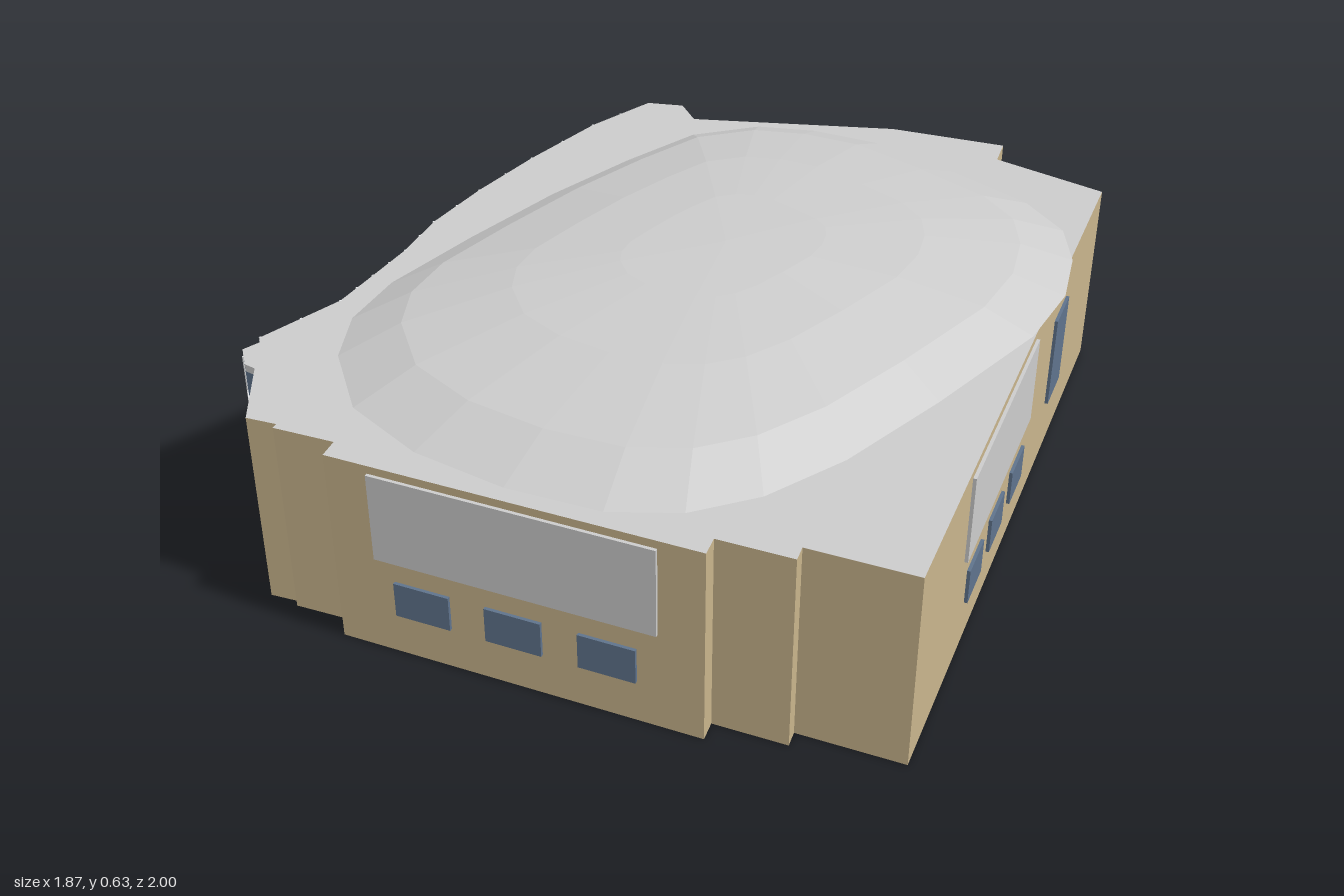
import * as THREE from 'three';

const mat = (name, color, extra = {}) => new THREE.MeshStandardMaterial({ name, color, side: THREE.DoubleSide, ...extra });

export function createModel() {
  const tan = mat('tan wall', 0xc8b48c);
  const grey = mat('light grey', 0xcccccc, { flatShading: true });
  const glass = mat('blue glass', 0x5f738c);
  const white = mat('white mullion', 0xe6e8ea);

  const model = new THREE.Group();
  model.name = 'building';
  const WALL = 0.5;

  const add = (name, geometry, material, parent = model) => {
    const mesh = new THREE.Mesh(geometry, material);
    mesh.name = name;
    parent.add(mesh);
    return mesh;
  };

  // Upright strip of wall along a plan line of [x, z] points
  const strip = (pts, y0, y1) => {
    const pos = [];
    for (let i = 0; i < pts.length - 1; i++) {
      const [ax, az] = pts[i], [bx, bz] = pts[i + 1];
      pos.push(ax, y0, az, ax, y1, az, bx, y1, bz, ax, y0, az, bx, y1, bz, bx, y0, bz);
    }
    const g = new THREE.BufferGeometry();
    g.setAttribute('position', new THREE.Float32BufferAttribute(pos, 3));
    g.computeVertexNormals();
    return g;
  };

  // Flat roof sheet over a plan outline
  const sheet = (pts, y) => new THREE.ShapeGeometry(
    new THREE.Shape(pts.map(([x, z]) => new THREE.Vector2(x, -z)))).rotateX(-Math.PI / 2).translate(0, y, 0);

  // Thin plate along the wall a-b, from fraction t0 to t1, pushed outwards
  const plate = (name, a, b, t0, t1, y0, y1, material, depth = 0.008, out = 0.004, parent = model) => {
    const dx = b[0] - a[0], dz = b[1] - a[1], len = Math.hypot(dx, dz), t = (t0 + t1) / 2;
    const m = add(name, new THREE.BoxGeometry(len * (t1 - t0), y1 - y0, depth), material, parent);
    m.position.set(a[0] + dx * t + dz / len * out, (y0 + y1) / 2, a[1] + dz * t - dx / len * out);
    m.rotation.y = Math.atan2(-dz, dx);
    return m;
  };

  // Plan of the main block, clockwise seen from above
  const solid = [[-0.24, -0.88], [0.315, -1], [0.63, -0.995], [0.63, -0.905], [0.93, -0.805],
    [0.83, 0.93], [0.58, 0.915], [0.58, 0.955], [0.405, 0.945], [0.405, 0.995],
    [-0.47, 0.94], [-0.47, 0.89], [-0.62, 0.885], [-0.62, 0.87], [-0.695, 0.87], [-0.83, 0.565]];
  const inner = [[-0.83, 0.565], [-0.73, 0.355], [-0.71, 0.22], [-0.69, 0.08], [-0.685, -0.08]];
  const curve = [[-0.685, -0.08], [-0.645, -0.28], [-0.585, -0.5], [-0.5, -0.75], [-0.4, -0.94],
    [-0.3, -0.955], [-0.24, -0.88]];
  const curtain = [...inner, ...curve.slice(1)];

  add('mainWalls', strip(solid, 0, WALL), tan);
  add('glassWall', strip(curtain, 0, WALL), glass);
  add('flatRoof', sheet([...solid, ...curtain.slice(1, -1)], WALL), grey);

  // Lower curved glass wing
  const wing = [[-0.83, 0.565], [-0.895, 0.547], [-0.934, 0.49], [-0.85, 0.345], [-0.78, 0.21],
    [-0.73, 0.065], [-0.685, -0.08]];
  add('wingGlass', strip(wing, 0, 0.38), glass);
  add('wingFascia', strip(wing, 0.38, 0.4), grey);
  add('wingRoof', sheet([...wing, ...inner.slice(1, -1).reverse()], 0.4), grey);

  // White bars over the glazing
  const mullions = new THREE.Group();
  mullions.name = 'mullions';
  model.add(mullions);
  const glaze = (pts, top, heights) => {
    for (let i = 0; i < pts.length - 1; i++) {
      const a = pts[i], b = pts[i + 1];
      for (const y of heights) plate('crossBar', a, b, 0, 1, y - 0.003, y + 0.003, white, 0.006, 0, mullions);
      const len = Math.hypot(b[0] - a[0], b[1] - a[1]);
      if (len < 0.12) continue;
      const w = 0.0025 / len;
      for (const t of [0, 0.5]) plate('uprightBar', a, b, t - w, t + w, 0, top, white, 0.006, 0, mullions);
    }
  };
  glaze(curtain, WALL, [0.15, 0.28, 0.41]);
  glaze(wing, 0.38, [0.15, 0.28]);

  // Large panel with three small windows below, on the front and the left side
  const front = [solid[9], solid[10]], side = [solid[4], solid[5]];
  const onFront = (x) => (0.405 - x) / 0.875, onSide = (z) => (z + 0.805) / 1.735;
  plate('frontPanel', ...front, onFront(0.3), onFront(-0.365), 0.255, 0.48, grey);
  plate('sidePanel', ...side, onSide(-0.045), onSide(0.55), 0.255, 0.48, grey);
  for (const x of [0.185, -0.035, -0.255])
    plate('frontWindow', ...front, onFront(x + 0.067), onFront(x - 0.067), 0.11, 0.2, glass);
  for (const z of [0.055, 0.253, 0.448])
    plate('sideWindow', ...side, onSide(z - 0.061), onSide(z + 0.061), 0.11, 0.2, glass);

  // Tall windows
  plate('tallWindow', ...side, onSide(-0.412), onSide(-0.28), 0.15, 0.395, glass);
  for (const i of [0, 1, 3, 14])
    plate('tallWindow', solid[i], solid[i + 1], 0.34, 0.67, 0.15, 0.395, glass);

  // Shallow faceted dome: the rim shrinks ring by ring towards the crown
  const rim = [[-0.665, 0.42], [-0.62, 0.58], [-0.49, 0.76], [-0.29, 0.87], [-0.06, 0.925], [0.165, 0.935],
    [0.325, 0.885], [0.46, 0.78], [0.59, 0.6], [0.73, 0.32], [0.88, -0.02], [0.922, -0.23], [0.912, -0.41],
    [0.865, -0.555], [0.75, -0.675], [0.53, -0.79], [0.295, -0.895], [0.11, -0.915], [-0.05, -0.89],
    [-0.21, -0.78], [-0.33, -0.57], [-0.45, -0.32], [-0.56, -0.03], [-0.65, 0.24]];
  const rings = [[1, 0.501], [0.84, 0.56], [0.56, 0.605], [0.28, 0.626], [0, 0.632]];
  const pos = [], idx = [], n = rim.length, cx = 0.13, cz = 0;
  for (const [s, y] of rings) for (const [x, z] of rim) pos.push(cx + (x - cx) * s, y, cz + (z - cz) * s);
  for (let r = 0; r < rings.length - 1; r++) for (let i = 0; i < n; i++) {
    const a = r * n + i, b = r * n + (i + 1) % n;
    idx.push(a, b, b + n);
    if (r < rings.length - 2) idx.push(a, b + n, a + n);
  }
  const dome = new THREE.BufferGeometry();
  dome.setAttribute('position', new THREE.Float32BufferAttribute(pos, 3));
  dome.setIndex(idx);
  dome.computeVertexNormals();
  add('dome', dome, grey);

  // Entrance block with a small canopy in front of the glass
  const porch = new THREE.Group();
  porch.name = 'entrance';
  porch.position.set(-0.625, 0, -0.549);
  porch.rotation.y = Math.atan2(-0.31, -0.122);
  model.add(porch);
  add('entranceBlock', new THREE.BoxGeometry(0.336, 0.29, 0.078), tan, porch).position.y = 0.145;
  add('canopy', new THREE.BoxGeometry(0.288, 0.012, 0.045), grey, porch).position.set(0.005, 0.225, -0.058);

  return model;
}
